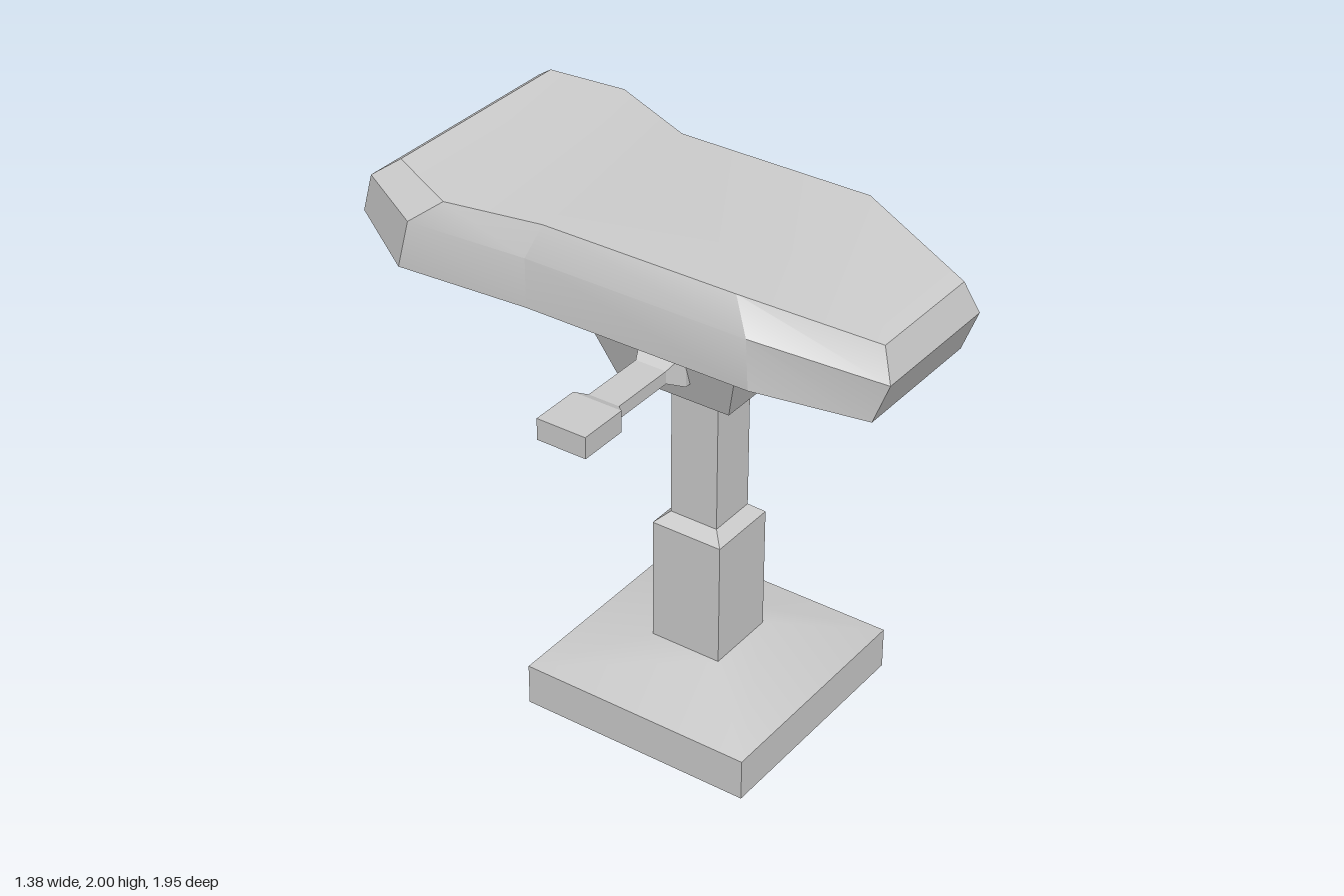
import * as THREE from 'three';
import { toCreasedNormals } from 'three/addons/utils/BufferGeometryUtils.js';

const CX = 0.135, CZ = 0.125; // axis of the stool
const material = new THREE.MeshStandardMaterial({ color: 0xcccccc });

// Skin over rings of [x, y, z] points, counter-clockwise seen from the last ring's end
function loft(name, rings) {
  const n = rings[0].length, last = (rings.length - 1) * n;
  const index = [];
  const quad = (a, b, c, d) => index.push(a, b, c, a, c, d);
  for (let k = 0; k < last; k += n) {
    for (let i = 0; i < n; i++) {
      const j = (i + 1) % n;
      quad(k + i, k + j, k + n + j, k + n + i);
    }
  }
  // end caps, laid as strips between the two sides of the ring
  for (let i = 0; i < n / 2 - 1; i++) {
    const [a, b, c, d] = [i, i + 1, n - 2 - i, n - 1 - i];
    quad(d, c, b, a);
    quad(last + a, last + b, last + c, last + d);
  }
  const geometry = new THREE.BufferGeometry();
  geometry.setAttribute('position', new THREE.Float32BufferAttribute(rings.flat(2), 3));
  geometry.setIndex(index);
  const mesh = new THREE.Mesh(toCreasedNormals(geometry, 0.4), material);
  mesh.name = name;
  return mesh;
}

// Horizontal square ring around the stool axis
const square = ([h, y]) => [[1, 1], [1, -1], [-1, -1], [-1, 1]]
  .map(([sx, sz]) => [CX + sx * h, y, CZ + sz * h]);

// Upright rectangular ring for the lever, centred on the lever axis
const leverRing = ([x, y0, y1, hz]) =>
  [[x, y0, CZ - hz], [x, y1, CZ - hz], [x, y1, CZ + hz], [x, y0, CZ + hz]];

// Seat section: half widths, then [z, y] of the bottom, middle and top edges
const seatRing = ([w, t, bottom, middle, top]) => {
  const side = (s) => [[w, bottom], [w, middle], [t, top]]
    .map(([h, [z, y]]) => [CX + s * h, y, z]);
  return [...side(1), ...side(-1).reverse()];
};

export function createModel() {
  const model = new THREE.Group();
  model.name = 'stool';

  // Foot plate with sloping top
  model.add(loft('base', [[0.455, 0], [0.455, 0.16], [0.14, 0.25]].map(square)));

  // Telescopic column: wide sleeve, then narrow post
  model.add(loft('column',
    [[0.14, 0.25], [0.14, 0.73], [0.095, 0.77], [0.095, 1.36]].map(square)));

  // Flared bracket under the seat
  model.add(loft('seatBracket', [[0.225, 1.35], [0.315, 1.63]].map(square)));

  // Cushion, from the wide raised back to the narrow drooping front
  model.add(loft('seat', [
    [0.455, 0.405, [-0.97, 1.79], [-0.93, 1.935], [-0.84, 2.0]],
    [0.555, 0.495, [-0.745, 1.695], [-0.695, 1.88], [-0.59, 1.96]],
    [0.435, 0.388, [-0.31, 1.63], [-0.31, 1.815], [-0.27, 1.93]],
    [0.435, 0.388, [0.56, 1.63], [0.55, 1.815], [0.48, 1.93]],
    [0.27, 0.237, [0.915, 1.56], [0.975, 1.715], [0.93, 1.83]],
  ].map(seatRing)));

  // Height lever: paddle, thin arm and flared root
  model.add(loft('lever', [
    [-0.69, 1.455, 1.535, 0.095],
    [-0.5, 1.455, 1.535, 0.095],
    [-0.465, 1.472, 1.52, 0.06],
    [-0.21, 1.472, 1.52, 0.06],
    [-0.14, 1.435, 1.565, 0.09],
    [-0.08, 1.435, 1.565, 0.09],
  ].map(leverRing)));

  return model;
}
